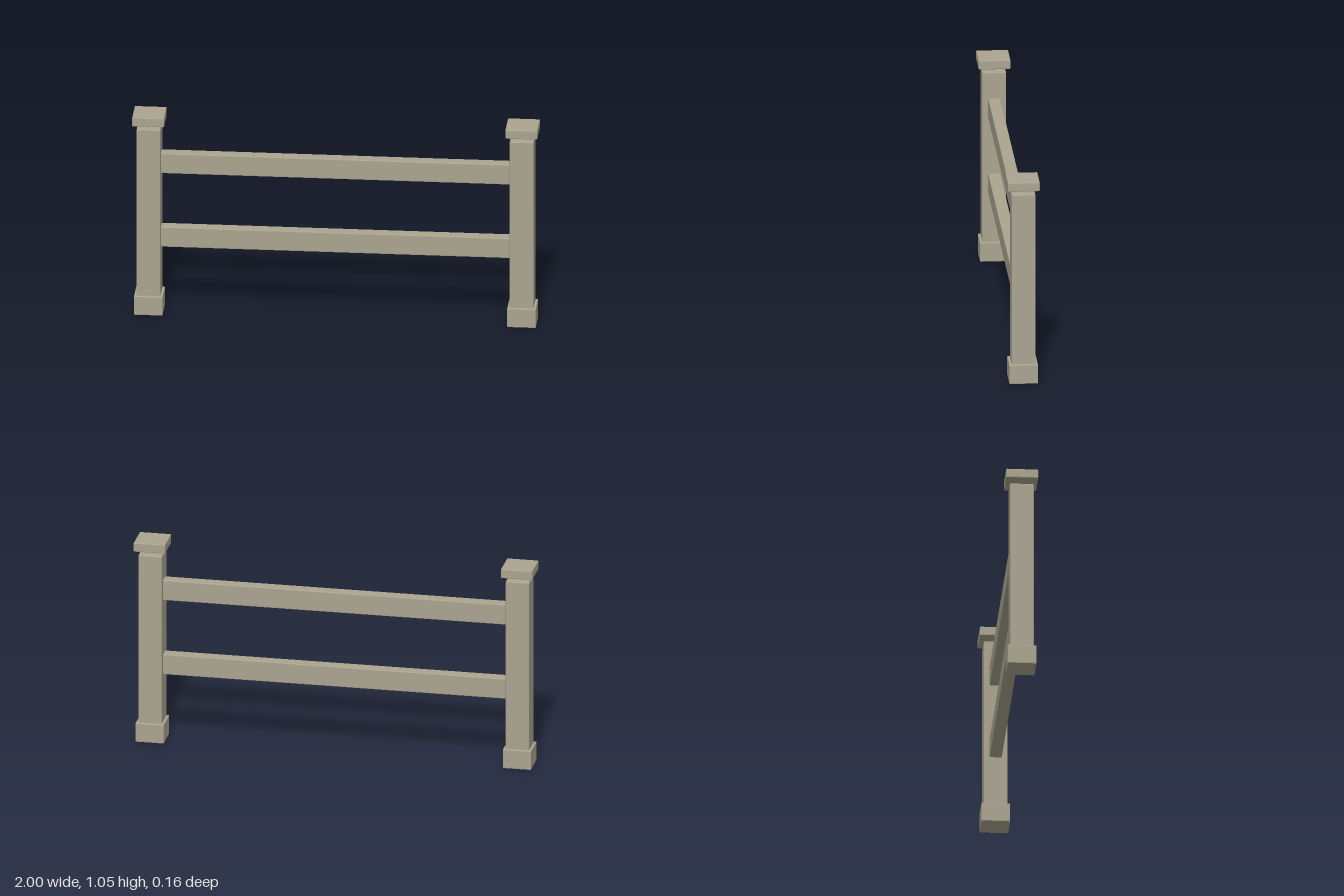
import * as THREE from 'three';
import { RoundedBoxGeometry } from 'three/addons/geometries/RoundedBoxGeometry.js';

// Box with a narrow flat chamfer, spanning y0 to y1
function chamferedBox(name, material, width, y0, y1, depth, x = 0) {
  const geometry = new RoundedBoxGeometry(width, y1 - y0, depth, 1, 0.004);
  geometry.computeVertexNormals(); // flat facets
  const mesh = new THREE.Mesh(geometry, material);
  mesh.name = name;
  mesh.position.set(x, (y0 + y1) / 2, 0);
  return mesh;
}

export function createModel() {
  const fence = new THREE.Group();
  fence.name = 'fence';
  const paint = new THREE.MeshStandardMaterial({ color: 0xaaa490 });
  paint.name = 'weathered beige';

  // Posts with a foot block and a cap held slightly above the shaft
  for (const [side, sign] of [['left', 1], ['right', -1]]) {
    const post = new THREE.Group();
    post.name = `${side}Post`;
    post.position.x = sign * 0.921;
    post.add(
      chamferedBox('postBase', paint, 0.142, 0, 0.1, 0.142),
      chamferedBox('postShaft', paint, 0.118, 0.09, 0.98, 0.118),
      chamferedBox('postCap', paint, 0.158, 1.003, 1.05, 0.158)
    );
    fence.add(post);
  }

  // Horizontal rails between the posts
  fence.add(
    chamferedBox('lowerRail', paint, 1.726, 0.35, 0.455, 0.06),
    chamferedBox('upperRail', paint, 1.726, 0.74, 0.845, 0.06)
  );
  return fence;
}
